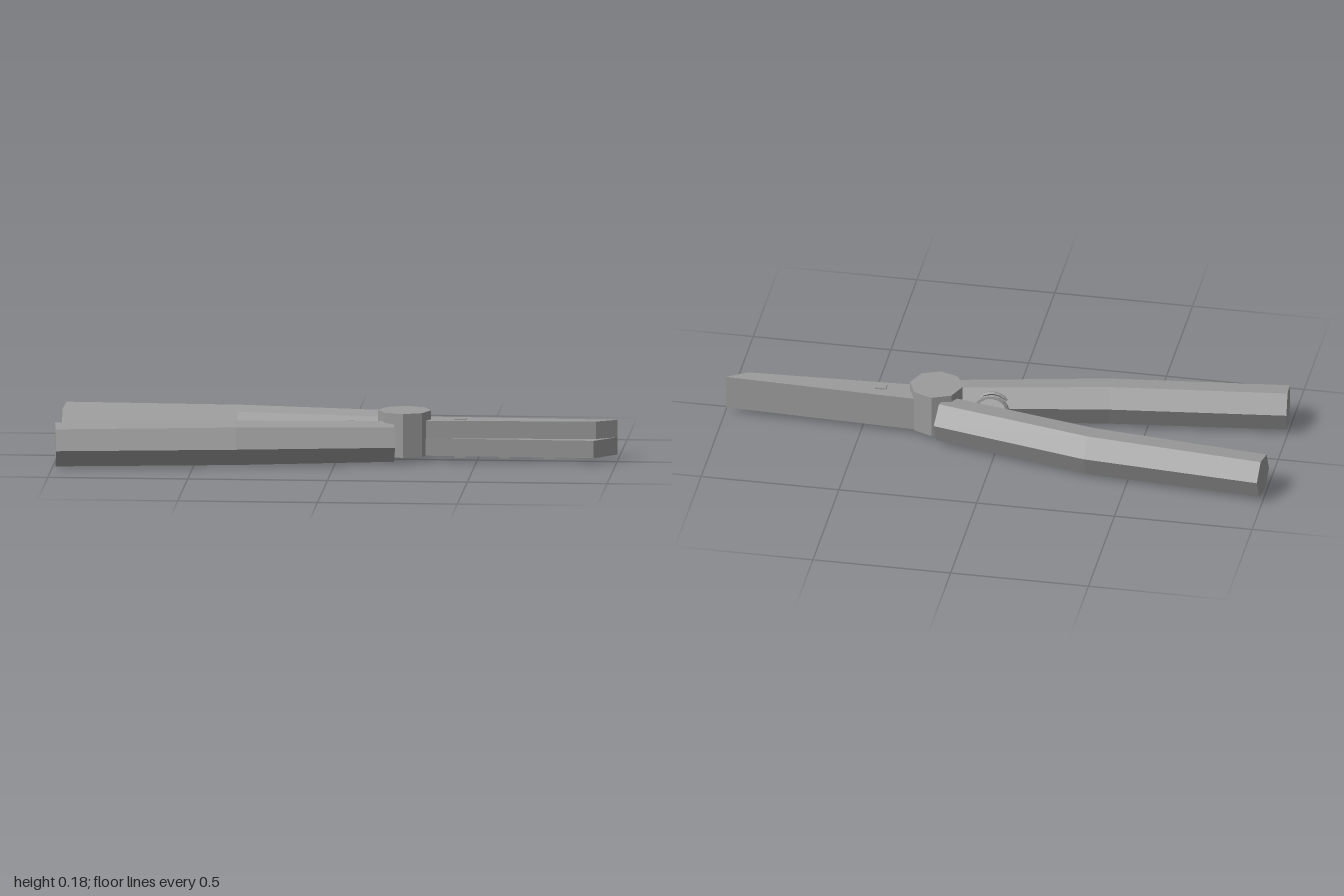
import * as THREE from 'three';

const steel = new THREE.MeshStandardMaterial({ color: 0x9c9c9c, flatShading: true });
steel.name = 'grey steel';

function add(parent, name, geometry) {
  const mesh = new THREE.Mesh(geometry, steel);
  mesh.name = name;
  parent.add(mesh);
  return mesh;
}

// Upright plate from an outline of [x, z] points, between two heights
function plate(outline, y0, y1) {
  const shape = new THREE.Shape(outline.map(([x, z]) => new THREE.Vector2(x, -z)));
  const geometry = new THREE.ExtrudeGeometry(shape, { depth: y1 - y0, bevelEnabled: false });
  return geometry.rotateX(-Math.PI / 2).translate(0, y0, 0);
}

// Bent six-sided grip through sections [x, y, z, radius, lean], ordered along +x
function grip(sections) {
  const sides = 6, tilt = -0.15;
  const rings = sections.map(([x, y, z, r, lean]) =>
    Array.from({ length: sides }, (_, k) => {
      const a = tilt + (k * Math.PI * 2) / sides;
      const dz = r * Math.cos(a);
      return [x + dz * lean, y + r * Math.sin(a), z + dz];
    }));
  const positions = [];
  const face = (...points) => points.forEach((p) => positions.push(...p));
  for (let i = 0; i < rings.length - 1; i++) {
    for (let k = 0; k < sides; k++) {
      const n = (k + 1) % sides;
      const a = rings[i], b = rings[i + 1];
      face(a[k], b[k], b[n]);
      face(a[k], b[n], a[n]);
    }
  }
  const first = rings[0], last = rings[rings.length - 1];
  for (let k = 1; k < sides - 1; k++) {
    face(first[0], first[k], first[k + 1]);
    face(last[0], last[k + 1], last[k]);
  }
  const geometry = new THREE.BufferGeometry();
  geometry.setAttribute('position', new THREE.Float32BufferAttribute(positions, 3));
  geometry.computeVertexNormals();
  return geometry;
}

export function createModel() {
  const model = new THREE.Group();
  model.name = 'pliers';

  // Handles
  add(model, 'backHandle', grip([
    [-0.992, 0.086, -0.252, 0.077, -0.1],
    [-0.357, 0.085, -0.195, 0.083, -0.16],
    [0.205, 0.092, -0.079, 0.08, -0.2],
  ]));
  add(model, 'frontHandle', grip([
    [-0.992, 0.085, 0.237, 0.08, 0.1],
    [-0.357, 0.086, 0.161, 0.081, 0.16],
    [0.205, 0.082, 0.065, 0.074, 0.15],
  ]));

  // Eight-sided pivot
  const pivot = add(model, 'pivot', new THREE.CylinderGeometry(0.095, 0.095, 0.158, 8));
  pivot.position.set(0.24, 0.106, -0.005);

  // Full-height jaw and the lower, wider jaw in front of it
  add(model, 'backJaw', plate(
    [[0.24, -0.068], [0.24, 0.037], [0.925, 0.008], [0.998, -0.038]], 0.027, 0.153));
  add(model, 'frontJaw', plate(
    [[0.24, -0.04], [0.24, 0.034], [0.92, 0.05], [0.998, -0.037]], 0.0275, 0.09));

  // Studs under the jaws; the first also shows on top
  [[0.44, 0.158], [0.6, 0.148], [0.76, 0.148]].forEach(([x, top]) => {
    const stud = add(model, 'jawStud', new THREE.BoxGeometry(0.04, top - 0.017, 0.032));
    stud.position.set(x, (top + 0.017) / 2, -0.005);
  });

  // Coiled return spring between the handles
  const turns = 1.6;
  const coil = Array.from({ length: 20 }, (_, i) => {
    const t = i / 19, a = t * turns * Math.PI * 2 - 0.5;
    return new THREE.Vector3(
      0.045 + 0.06 * Math.cos(a), 0.084 + 0.06 * Math.sin(a), 0.002 + 0.048 * t);
  });
  add(model, 'spring', new THREE.TubeGeometry(new THREE.CatmullRomCurve3(coil), 32, 0.007, 5));

  return model;
}
